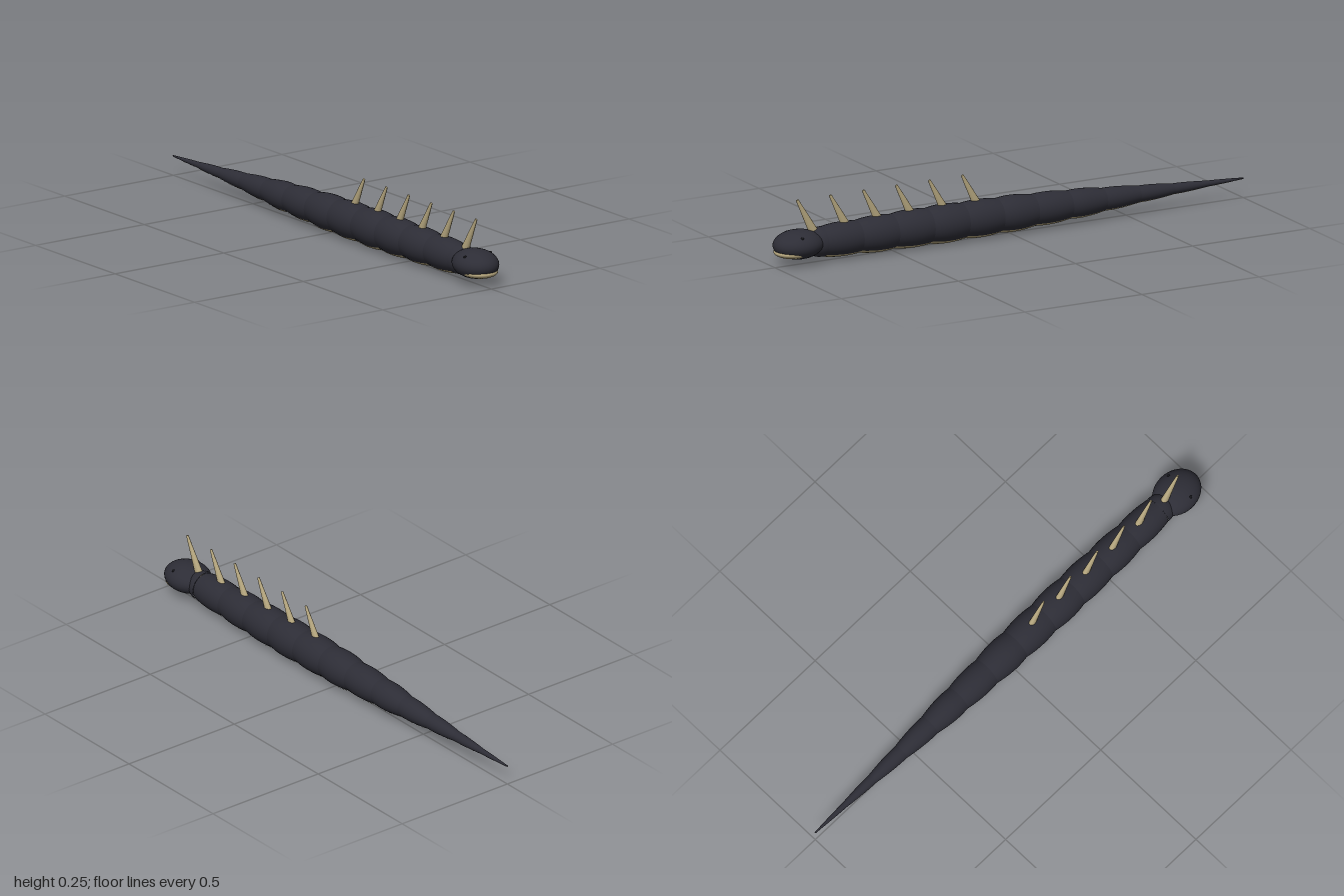
import * as THREE from 'three';

const CENTER_Y = 0.077;
const SEGMENTS = 12, PITCH = 0.15, FRONT = 0.8;

// Overall body radius along z, tail tip to neck: [z, radius]
const TAPER = [
  [-1, 0.003], [-0.85, 0.012], [-0.7, 0.022], [-0.5, 0.038], [-0.3, 0.055],
  [0, 0.069], [0.3, 0.073], [0.55, 0.069], [0.75, 0.063], [0.9, 0.058],
];
function radiusAt(z) {
  for (let i = 1; i < TAPER.length; i++) {
    const [z0, r0] = TAPER[i - 1], [z1, r1] = TAPER[i];
    if (z <= z1) return THREE.MathUtils.lerp(r0, r1, (z - z0) / (z1 - z0));
  }
  return TAPER[TAPER.length - 1][1];
}

// Surface of revolution around z; angle 0 points down
function zLathe(points, sides, start, length) {
  return new THREE.LatheGeometry(points, sides, start, length).rotateX(Math.PI / 2);
}

export function createModel() {
  const scales = new THREE.MeshStandardMaterial({ name: 'dark scales', color: 0x2d2d36 });
  const bone = new THREE.MeshStandardMaterial({ name: 'bone', color: 0xb5a67e });
  const eyeBlack = new THREE.MeshStandardMaterial({ name: 'eye black', color: 0x141418 });

  const model = new THREE.Group();
  model.name = 'spinedSerpent';
  function add(name, geometry, material, x, y, z, parent = model) {
    const mesh = new THREE.Mesh(geometry, material);
    mesh.name = name;
    mesh.position.set(x, y, z);
    parent.add(mesh);
    return mesh;
  }
  function ellipsoid(rx, ry, rz) {
    return new THREE.SphereGeometry(1, 32, 20).rotateX(Math.PI / 2).scale(rx, ry, rz);
  }

  // Bulging body segments, each with a belly plate
  const body = new THREE.Group();
  body.name = 'body';
  model.add(body);
  for (let k = 0; k < SEGMENTS; k++) {
    const z0 = FRONT - (k + 1) * PITCH;
    const skin = [], belly = [];
    for (let i = 0; i <= 10; i++) {
      const t = i / 10, z = z0 + t * PITCH;
      const r = radiusAt(z) * (1 - 0.09 * (2 * t - 1) ** 2);
      skin.push(new THREE.Vector2(r, z));
      belly.push(new THREE.Vector2(r * 1.025 + 0.0004, z));
    }
    if (k === SEGMENTS - 1) skin.unshift(new THREE.Vector2(0, z0));
    add('bodySegment', zLathe(skin, 32, 0, Math.PI * 2), scales, 0, CENTER_Y, 0, body);
    add('bellyPlate', zLathe(belly, 12, -0.72, 1.44), bone, 0, CENTER_Y, 0, body);
  }

  // Neck rounding off inside the head
  const neck = [[0.057, 0.8], [0.056, 0.82], [0.05, 0.84], [0.037, 0.86], [0, 0.875]]
    .map(([r, z]) => new THREE.Vector2(r, z));
  add('neck', zLathe(neck, 32, 0, Math.PI * 2), scales, 0, CENTER_Y, 0, body);

  // Head, lower jaw and eyes
  add('head', ellipsoid(0.082, 0.055, 0.1), scales, 0, 0.08, 0.9);
  add('lowerJaw', ellipsoid(0.068, 0.023, 0.072), bone, 0, 0.055, 0.925);
  for (const side of [-1, 1]) {
    add('eye', ellipsoid(0.006, 0.006, 0.006), eyeBlack, side * 0.058, 0.115, 0.915);
  }

  // Row of forward-leaning back spikes
  const base = 0.11, tip = 0.25, lean = 0.075;
  const length = Math.hypot(tip - base, lean);
  const spike = new THREE.CylinderGeometry(0.004, 0.014, length, 12)
    .scale(1, 1, 1.4)
    .rotateX(Math.atan2(lean, tip - base));
  for (let k = 0; k < 6; k++) {
    add('backSpike', spike, bone, 0, (base + tip) / 2, 0.905 - 0.141 * k - lean / 2);
  }
  return model;
}
